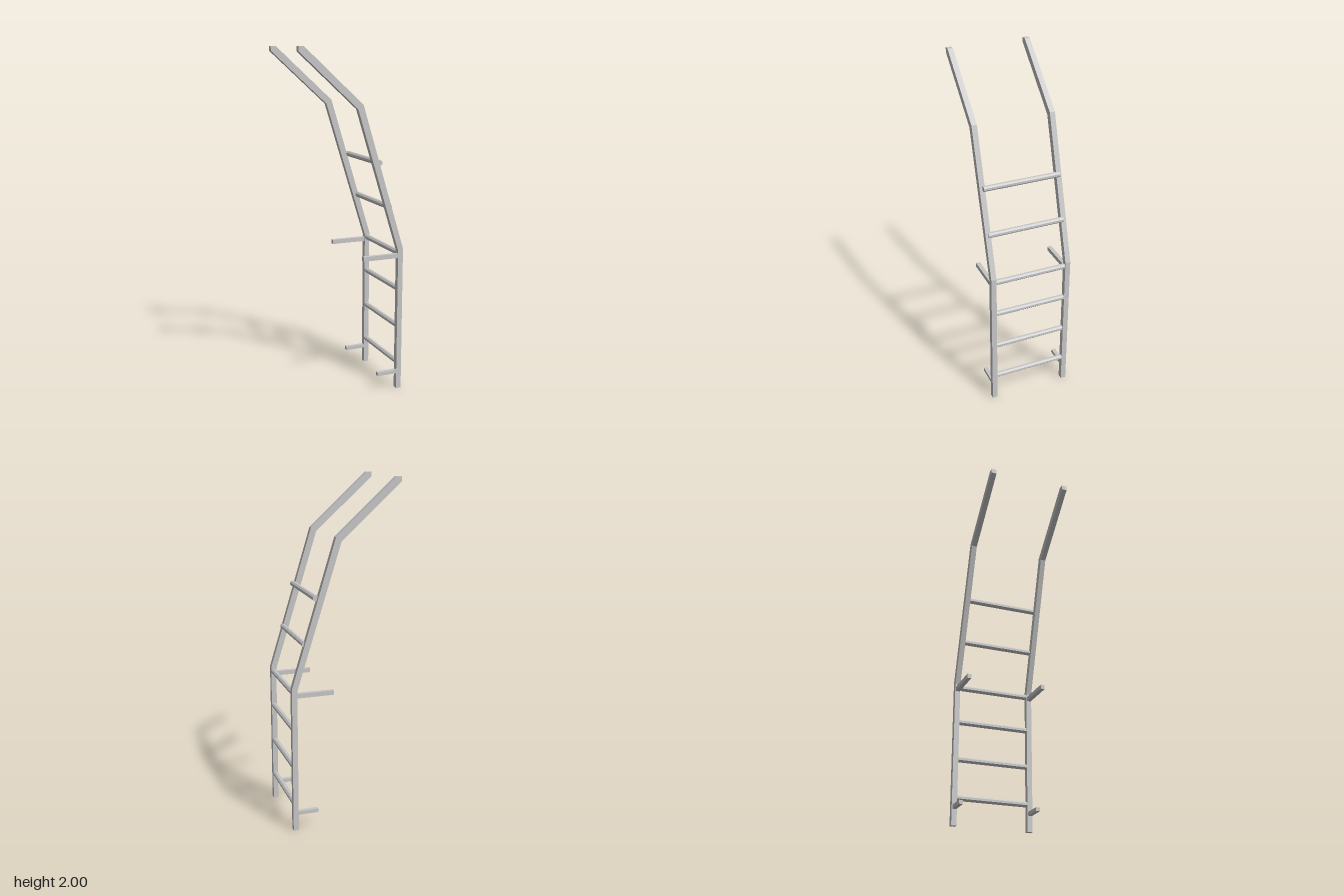
import * as THREE from 'three';

export function createModel() {
  const model = new THREE.Group();
  model.name = 'ladder';
  const steel = new THREE.MeshStandardMaterial({ color: 0xc6c6c6 });
  steel.name = 'light grey steel';

  const add = (name, geometry, x, y, z) => {
    const mesh = new THREE.Mesh(geometry, steel);
    mesh.name = name;
    mesh.position.set(x, y, z);
    model.add(mesh);
  };

  // Bent square rail: upright post, leaning section, handrail
  const railWidth = 0.031;
  const profile = [
    [0.284, 0], [0.315, 0], [0.315, 0.857], [0.059, 1.687], [-0.285, 2],
    [-0.315, 2], [-0.315, 1.973], [0.027, 1.664], [0.284, 0.845],
  ].map(([x, y]) => new THREE.Vector2(x, y));
  const railGeometry = new THREE.ExtrudeGeometry(new THREE.Shape(profile), {
    depth: railWidth, bevelEnabled: false,
  });
  railGeometry.translate(0, 0, -railWidth / 2);

  // Rails with their wall brackets, mirrored front to back
  for (const [side, z] of [['front', 0.229], ['back', -0.229]]) {
    add(side + 'Rail', railGeometry, 0, 0, z);
    add(side + 'LowerBracket', new THREE.BoxGeometry(0.125, 0.022, 0.024), 0.2265, 0.104, z);
    add(side + 'UpperBracket', new THREE.BoxGeometry(0.22, 0.026, 0.024), 0.179, 0.815, z);
  }

  // Octagonal rungs with flat tops: [x, y, length]
  const rungs = [
    [0.299, 0.16, 0.428], [0.299, 0.386, 0.428], [0.299, 0.613, 0.428], [0.299, 0.829, 0.428],
    [0.235, 1.104, 0.456], [0.171, 1.36, 0.456],
  ];
  rungs.forEach(([x, y, length], i) => {
    const geometry = new THREE.CylinderGeometry(0.0162, 0.0162, length, 8).toNonIndexed();
    geometry.rotateY(Math.PI / 8).rotateX(Math.PI / 2);
    geometry.computeVertexNormals();
    add('rung' + (i + 1), geometry, x, y, 0);
  });

  return model;
}
